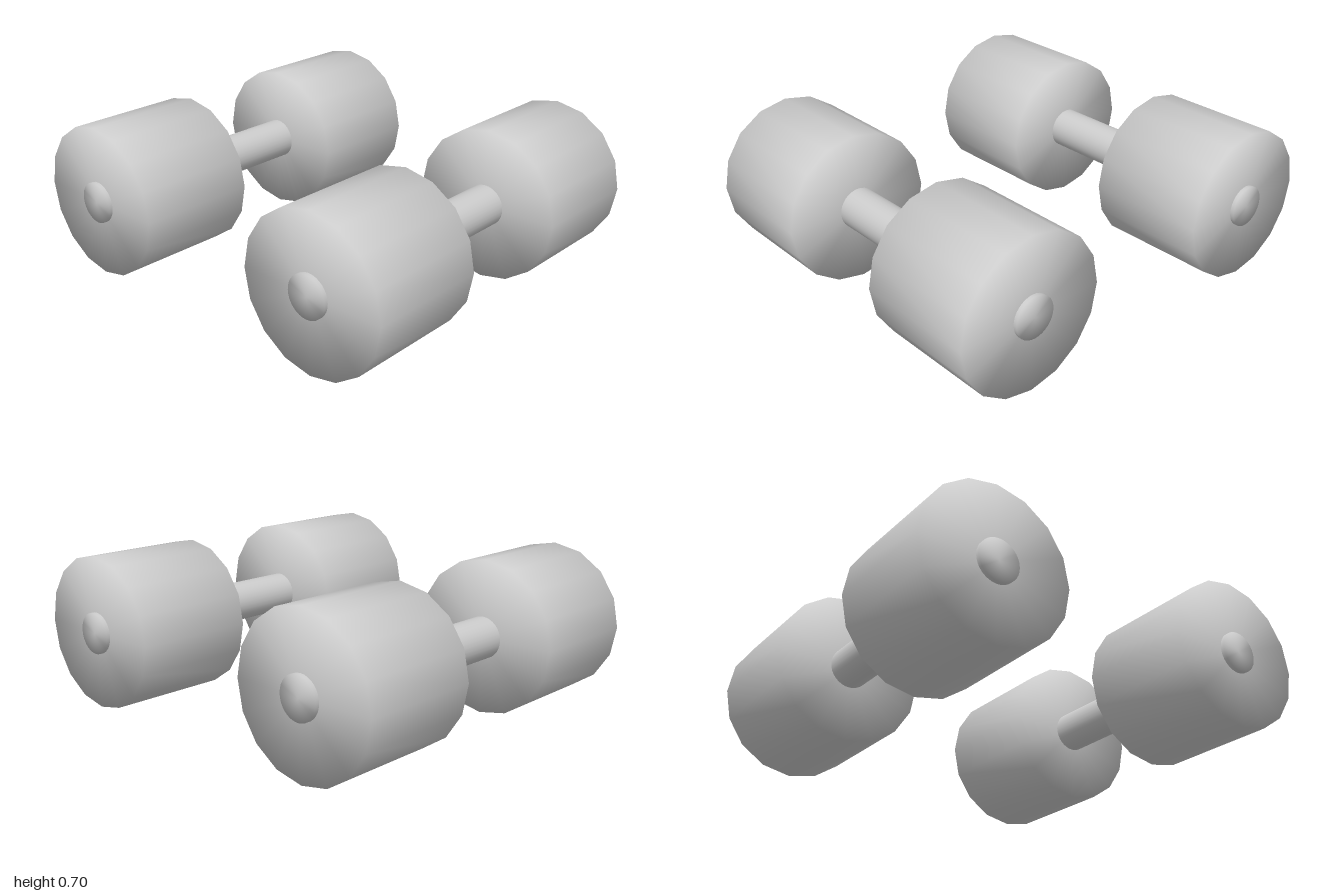
import * as THREE from 'three';
import { mergeVertices } from 'three/addons/utils/BufferGeometryUtils.js';

const WEIGHT_RADIUS = 0.351, WEIGHT_LENGTH = 0.562, WEIGHT_Z = 0.568;
const BAR_RADIUS = 0.095, BAR_LENGTH = 1.732;
const SPACING = 0.649;

// Cylinder along z whose rim shares its vertices, so shading rolls over the edge
function softCylinder(radius, length, sides) {
  const geometry = new THREE.CylinderGeometry(radius, radius, length, sides);
  geometry.rotateX(Math.PI / 2);
  geometry.deleteAttribute('normal');
  geometry.deleteAttribute('uv');
  const merged = mergeVertices(geometry, 1e-4);
  merged.computeVertexNormals();
  return merged;
}

export function createModel() {
  const model = new THREE.Group();
  model.name = 'dumbbellPair';
  const material = new THREE.MeshStandardMaterial({ color: 0xcccccc });
  const weightGeometry = softCylinder(WEIGHT_RADIUS, WEIGHT_LENGTH, 16);
  const barGeometry = softCylinder(BAR_RADIUS, BAR_LENGTH, 32);

  for (const side of [1, -1]) {
    const dumbbell = new THREE.Group();
    dumbbell.name = side > 0 ? 'leftDumbbell' : 'rightDumbbell';
    dumbbell.position.set(side * SPACING, WEIGHT_RADIUS, 0);

    // Bar running through both weights, with its ends just showing
    const bar = new THREE.Mesh(barGeometry, material);
    bar.name = 'bar';
    dumbbell.add(bar);

    // Sixteen-sided weights
    for (const end of [1, -1]) {
      const weight = new THREE.Mesh(weightGeometry, material);
      weight.name = end > 0 ? 'frontWeight' : 'backWeight';
      weight.position.z = end * WEIGHT_Z;
      dumbbell.add(weight);
    }
    model.add(dumbbell);
  }
  return model;
}
